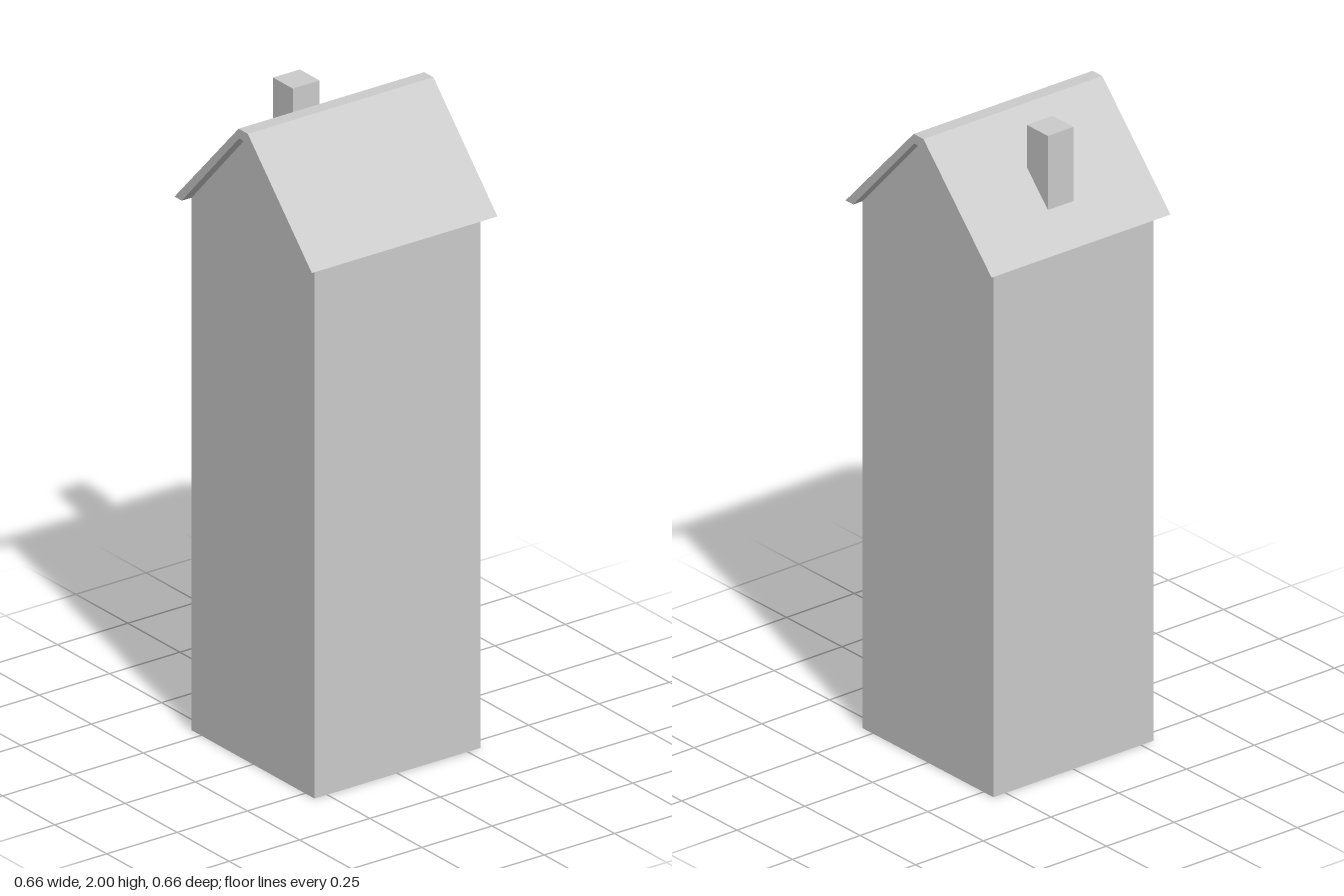
import * as THREE from 'three';

const material = new THREE.MeshStandardMaterial({ color: 0xcccccc, flatShading: true });

// Extrude an x/y outline along z, centred on z = 0
function prism(name, points, depth) {
  const shape = new THREE.Shape(points.map(([x, y]) => new THREE.Vector2(x, y)));
  const geometry = new THREE.ExtrudeGeometry(shape, { depth, bevelEnabled: false });
  geometry.translate(0, 0, -depth / 2);
  const mesh = new THREE.Mesh(geometry, material);
  mesh.name = name;
  return mesh;
}

// Complete a right-hand half outline with its mirror image
const mirrored = (half) => [...half, ...half.map(([x, y]) => [-x, y]).reverse()];

export function createModel() {
  const model = new THREE.Group();
  model.name = 'towerHouse';

  const eaveY = 1.67;
  const innerRidge = [0.02, 1.965];

  // Walls with gabled ends
  model.add(prism('walls', mirrored([[0.295, 0], [0.295, eaveY], innerRidge]), 0.59));

  // Roof: thin gable shell with a flat ridge, overhanging on all sides
  const outer = [[0.33, eaveY], [0.022, 1.995]];
  const inner = [[0.295, eaveY], innerRidge];
  model.add(prism('roof', [
    ...mirrored(outer),
    ...mirrored(inner).reverse(),
  ], 0.66));

  // Chimney, rising from within the right roof slope
  const chimney = new THREE.Mesh(new THREE.BoxGeometry(0.095, 0.28, 0.095), material);
  chimney.name = 'chimney';
  chimney.position.set(-0.192, 1.86, -0.001);
  model.add(chimney);

  return model;
}
